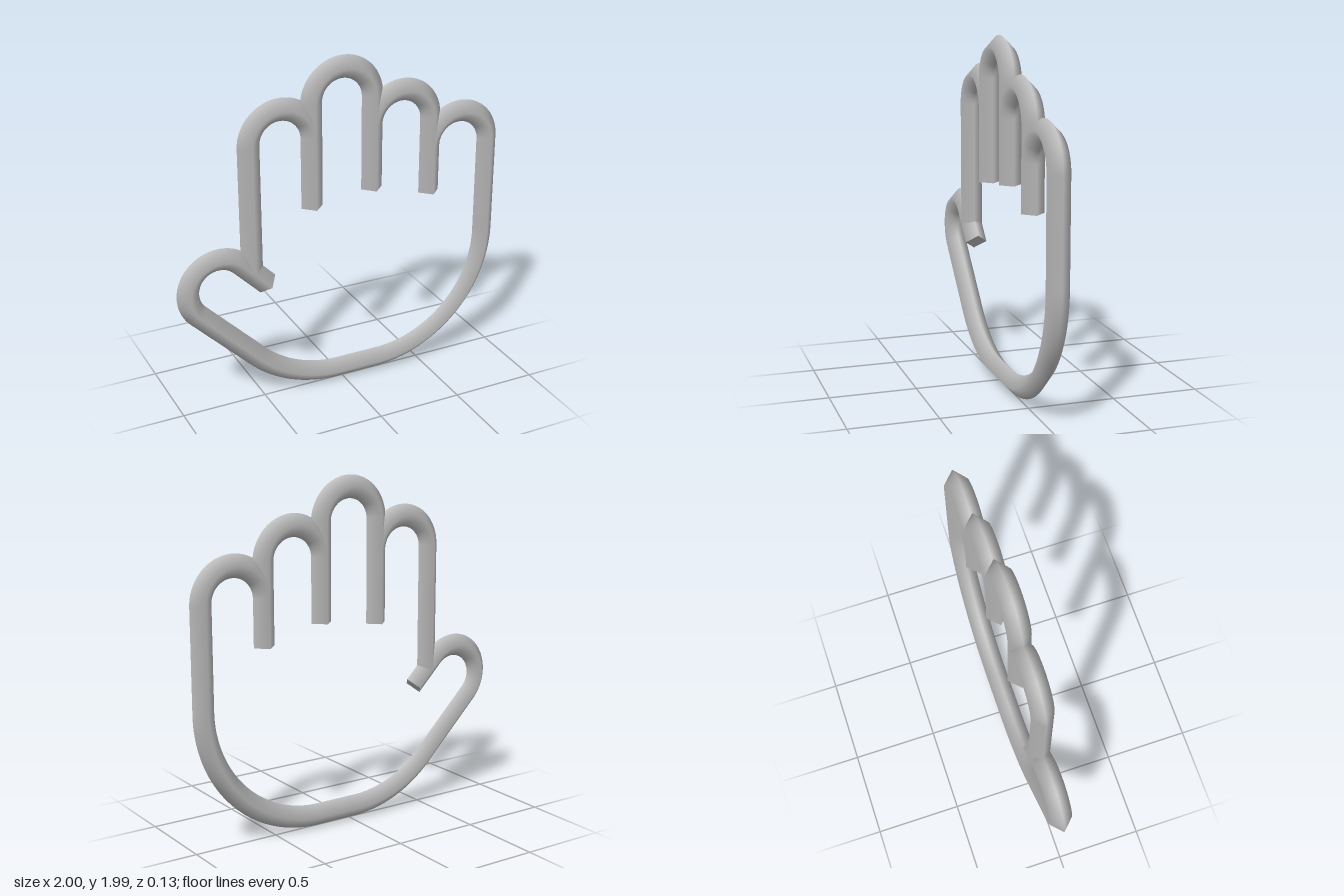
import * as THREE from 'three';

const R = 0.065; // tube radius

// Lifts a flat path into the z = 0 plane
class FlatCurve extends THREE.Curve {
  constructor(path) {
    super();
    this.path = path;
    this.arcLengthDivisions = 800;
  }
  getPoint(t, target = new THREE.Vector3()) {
    const p = this.path.getPoint(t);
    return target.set(p.x, p.y, 0);
  }
}

// Diamond-section tube along a path, closed with end caps
function wire(name, path, segments, material) {
  const group = new THREE.Group();
  group.name = name;
  const curve = new FlatCurve(path);
  const tube = new THREE.Mesh(new THREE.TubeGeometry(curve, segments, R, 4, false), material);
  tube.name = name + 'Tube';
  group.add(tube);
  for (const t of [0, 1]) {
    const cap = new THREE.Mesh(new THREE.CircleGeometry(R, 4), material);
    const p = curve.getPoint(t);
    const dir = curve.getTangent(t).multiplyScalar(t ? 1 : -1);
    cap.name = name + 'Cap';
    cap.up.set(0, 0, 1);
    cap.position.copy(p);
    cap.lookAt(p.clone().add(dir));
    group.add(cap);
  }
  return group;
}

// Arch from the left leg over to the right leg
function finger(cx, cy, r, leftEnd, rightEnd) {
  const path = new THREE.Path();
  path.moveTo(cx - r, leftEnd);
  if (leftEnd < cy) path.lineTo(cx - r, cy);
  path.absarc(cx, cy, r, Math.PI, 0, true);
  path.lineTo(cx + r, rightEnd);
  return path;
}

export function createModel() {
  const grey = new THREE.MeshStandardMaterial({ color: 0xc0c0c0 });
  grey.name = 'grey';
  const hand = new THREE.Group();
  hand.name = 'handOutline';

  // Three inner fingers
  hand.add(wire('indexFinger', finger(-0.37, 1.555, 0.185, 0.82, 1.14), 120, grey));
  hand.add(wire('middleFinger', finger(0, 1.74, 0.185, 1.14, 1.185), 120, grey));
  hand.add(wire('ringFinger', finger(0.37, 1.555, 0.185, 1.555, 1.095), 100, grey));

  // Little finger, palm and thumb in one continuous run
  const palm = finger(0.745, 1.365, 0.19, 1.365, 0.785);
  palm.absarc(0.22, 0.783, 0.715, 0, -Math.PI / 2, true);
  palm.absarc(-0.034, 0.783, 0.715, -Math.PI / 2, -Math.PI * 0.75, true);
  palm.absarc(-0.75, 0.75, 0.185, -Math.PI * 0.75, -Math.PI * 1.75, true);
  palm.lineTo(-0.463, 0.724);
  hand.add(wire('palmAndThumb', palm, 420, grey));

  return hand;
}
